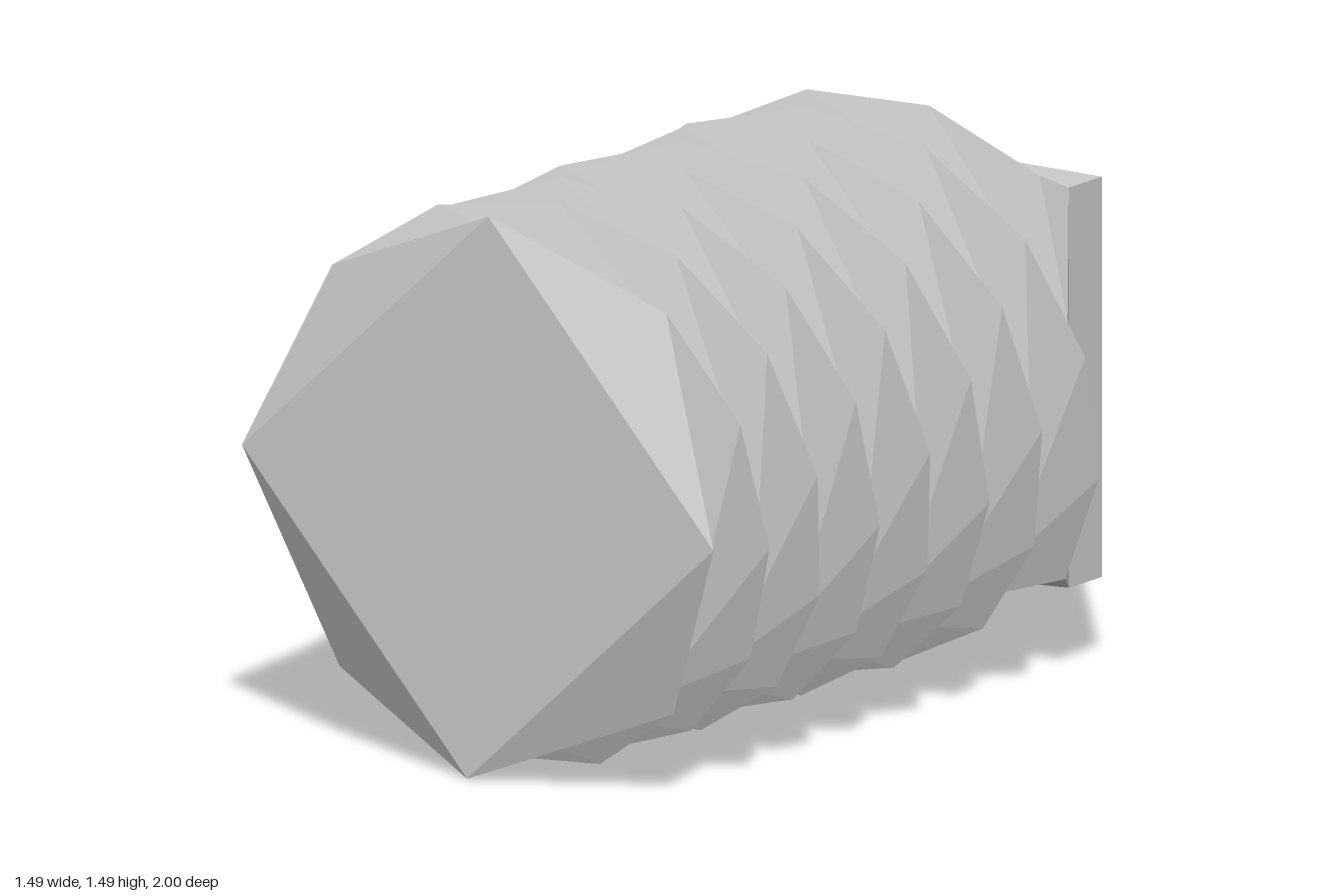
import * as THREE from 'three';

const RADIUS = 0.747;                          // centre to corner of the square section
const STEP = 0.0698;                           // spacing of the twisted sections
const TWIST = THREE.MathUtils.degToRad(374.2); // twist per unit of length
const TWIST_START = -0.797;

// Four corners of the square section at depth z, counter-clockwise from the front
function section(z) {
  const turn = Math.PI / 4 + Math.max(0, z - TWIST_START) * TWIST;
  return [0, 1, 2, 3].map((k) => {
    const a = turn + (k * Math.PI) / 2;
    return new THREE.Vector3(RADIUS * Math.cos(a), RADIUS * Math.sin(a), z);
  });
}

function twistedBarGeometry() {
  // Straight shank at the back, even twisted sections, longer last span
  const depths = [-1];
  for (let i = 25; i >= 0; i--) depths.push(0.89 - i * STEP);
  depths.push(1);
  const rings = depths.map(section);

  const points = [];
  for (let i = 0; i < rings.length - 1; i++) {
    for (let k = 0; k < 4; k++) {
      const n = (k + 1) % 4;
      const a = rings[i][k], b = rings[i][n];
      const c = rings[i + 1][n], d = rings[i + 1][k];
      points.push(a, b, d, b, c, d); // the short diagonal keeps the faces bulging out
    }
  }

  // Flat square ends
  const [p, q, r, s] = rings[0];
  points.push(p, r, q, p, s, r);
  const [e, f, g, h] = rings[rings.length - 1];
  points.push(e, f, g, e, g, h);

  const geometry = new THREE.BufferGeometry().setFromPoints(points);
  geometry.computeVertexNormals();
  return geometry;
}

export function createModel() {
  const model = new THREE.Group();
  model.name = 'twistedBlock';
  const material = new THREE.MeshStandardMaterial({ color: 0xcccccc, flatShading: true });
  const bar = new THREE.Mesh(twistedBarGeometry(), material);
  bar.name = 'twistedBar';
  bar.position.y = RADIUS;
  model.add(bar);
  return model;
}
